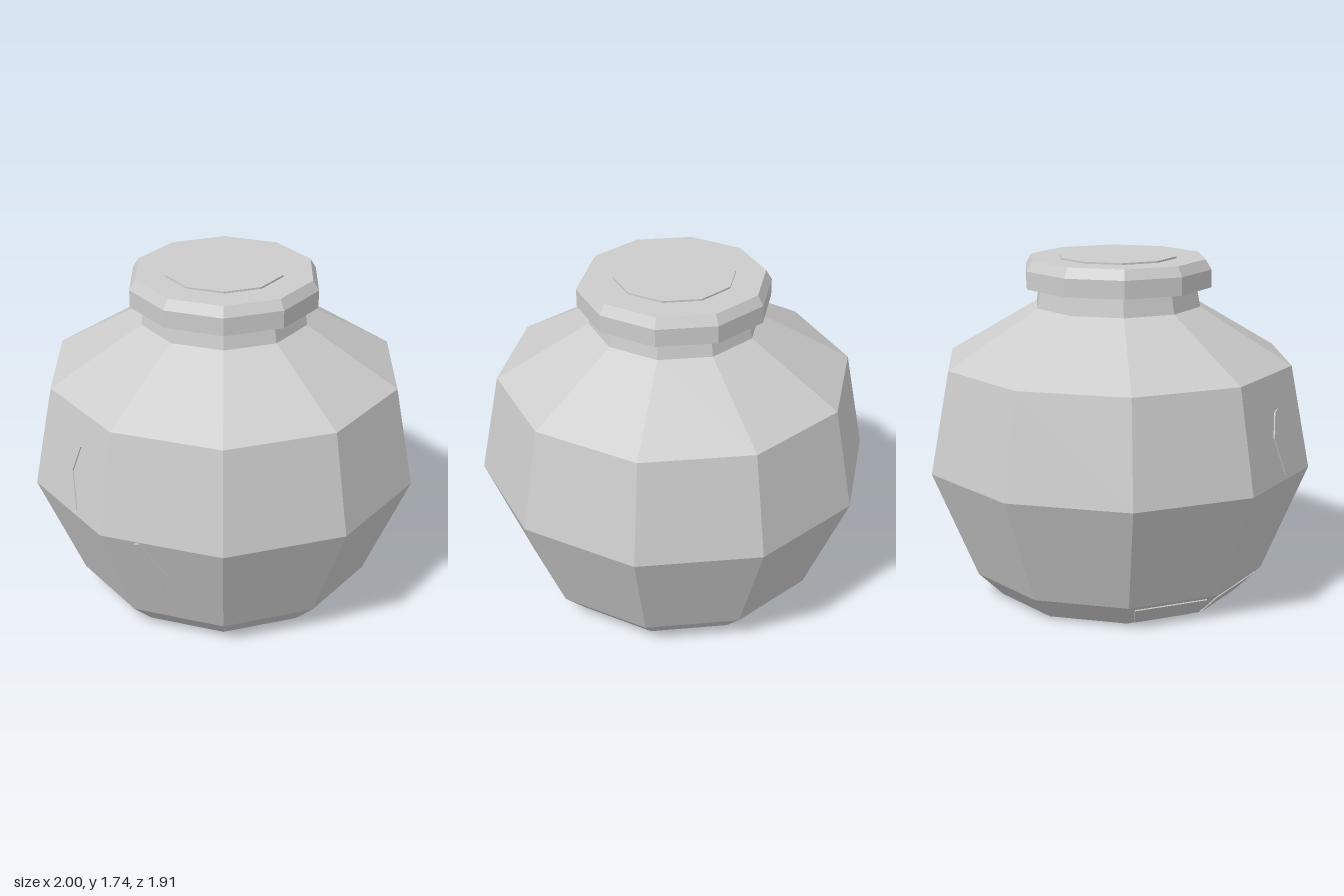
import * as THREE from 'three';

const SIDES = 10;
const stone = new THREE.MeshStandardMaterial({ color: 0xcccccc, flatShading: true });
stone.name = 'pale grey clay';

// Ten-sided turned part with a corner on the x axis; profile runs bottom to top
function turned(name, profile) {
  const points = profile.map(([r, y]) => new THREE.Vector2(r, y));
  const mesh = new THREE.Mesh(new THREE.LatheGeometry(points, SIDES, Math.PI / 2), stone);
  mesh.name = name;
  return mesh;
}

// Thin plate lying on one facet; its outline is given in front-view x, y
function plate(name, degrees, [r0, y0], [r1, y1], outline) {
  const angle = THREE.MathUtils.degToRad(degrees);
  const c = Math.cos(angle), s = Math.sin(angle);
  const inset = Math.cos(Math.PI / SIDES);
  const reach = (y) => inset * (r0 + (r1 - r0) * (y - y0) / (y1 - y0));
  const rise = y1 - y0, run = inset * (r1 - r0);
  const slope = Math.hypot(rise, run);

  const shape = new THREE.Shape(outline.map(([x, y]) =>
    new THREE.Vector2((x - reach(y) * c) / s, (y - y0) * slope / rise)));
  const geometry = new THREE.ExtrudeGeometry(shape, { depth: 0.008, bevelEnabled: false });
  geometry.translate(0, 0, -0.002);

  const across = new THREE.Vector3(s, 0, -c);
  const up = new THREE.Vector3(c * run, rise, s * run).normalize();
  const out = across.clone().cross(up);
  geometry.applyMatrix4(new THREE.Matrix4().makeBasis(across, up, out)
    .setPosition(reach(y0) * c, y0, reach(y0) * s));
  const mesh = new THREE.Mesh(geometry, stone);
  mesh.name = name;
  return mesh;
}

export function createModel() {
  const jar = new THREE.Group();
  jar.name = 'jar';

  // Rings of the body, from the foot to the neck
  const foot = [0.64, 0], base = [0.77, 0.13], belly = [1, 0.69], shoulder = [0.9, 1.21];
  jar.add(turned('body', [[0, 0], foot, base, belly, shoulder, [0.43, 1.49], [0.41, 1.6]]));

  // Lid with a bevelled rim and a slightly raised disc
  jar.add(turned('lid', [[0, 1.59], [0.485, 1.59], [0.485, 1.68], [0.455, 1.73], [0, 1.73]]));
  jar.add(turned('lidDisc', [[0.305, 1.73], [0.305, 1.739], [0, 1.739]]));

  // Cracks
  jar.add(plate('upperCrack', 126, belly, shoulder, [
    [-0.505, 1.03], [-0.555, 0.91], [-0.52, 0.71], [-0.485, 0.72], [-0.525, 0.9], [-0.475, 1.04]]));
  jar.add(plate('lowerCrack', 90, base, belly, [
    [-0.14, 0.675], [-0.045, 0.48], [-0.095, 0.295], [-0.06, 0.3], [-0.005, 0.48], [-0.11, 0.685]]));

  // Worn patches on the foot bevel
  jar.add(plate('frontFootPatch', 126, foot, base, [
    [-0.53, 0.008], [-0.23, 0.008], [-0.255, 0.11], [-0.59, 0.11]]));
  jar.add(plate('sideFootPatch', 162, foot, base, [
    [-0.635, 0.008], [-0.545, 0.008], [-0.62, 0.11], [-0.74, 0.11]]));

  return jar;
}
